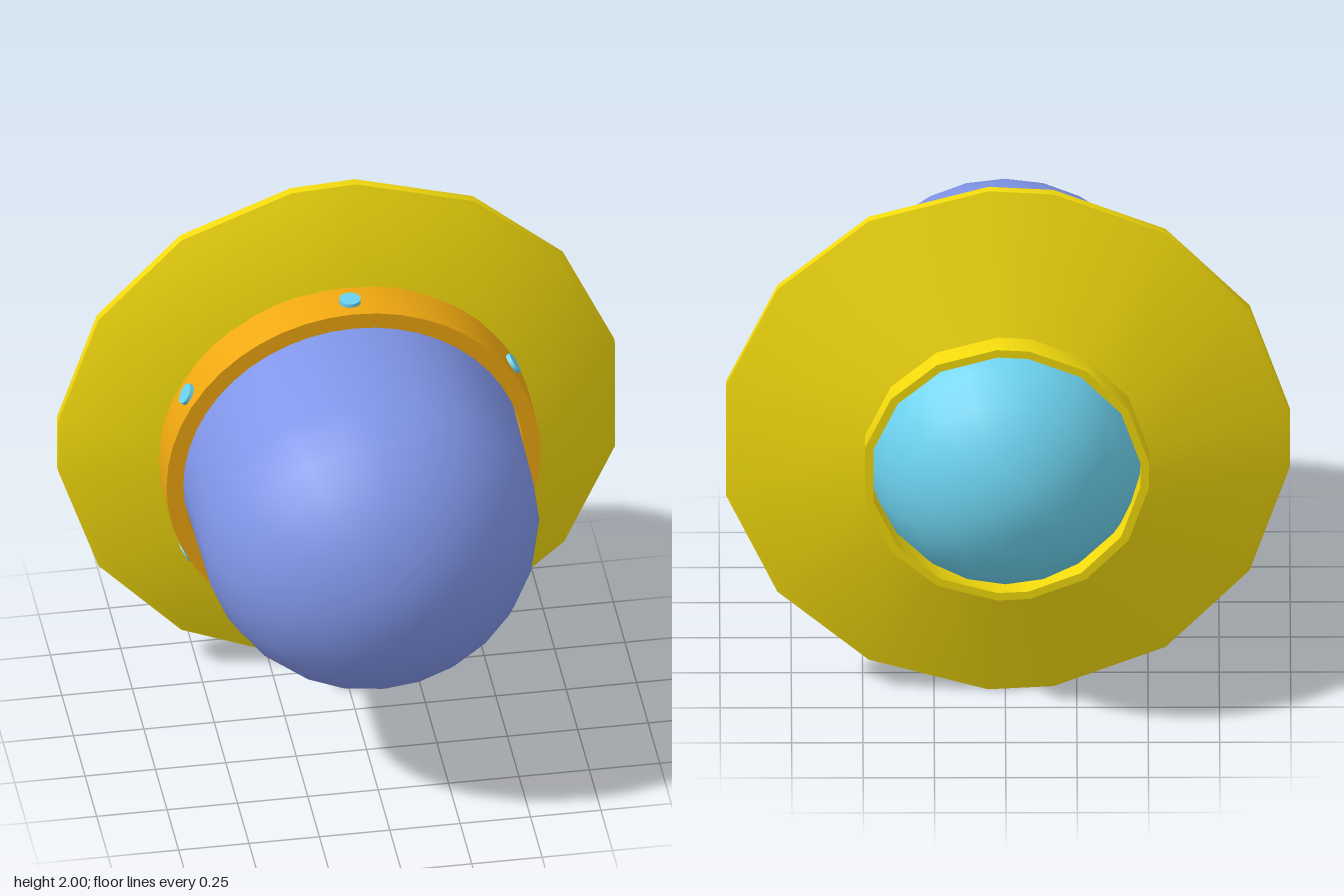
import * as THREE from 'three';
import { toCreasedNormals } from 'three/addons/utils/BufferGeometryUtils.js';

const mat = (color) => new THREE.MeshStandardMaterial({ color, side: THREE.DoubleSide });
const rad = THREE.MathUtils.degToRad;

// Turns a profile of [radius, z] points (back to front) around the z axis.
// An optional list of degrees places the corners unevenly around the axis.
function turned(name, profile, sides, material, angles) {
  const points = profile.map(([r, z]) => new THREE.Vector2(r, z));
  const geo = new THREE.LatheGeometry(points, sides);
  geo.rotateX(Math.PI / 2);
  if (angles) {
    const pos = geo.attributes.position;
    for (let i = 0; i < pos.count; i++) {
      const a = rad(angles[Math.floor(i / points.length)]);
      const r = points[i % points.length].x;
      pos.setXY(i, r * Math.cos(a), r * Math.sin(a));
    }
  }
  const mesh = new THREE.Mesh(toCreasedNormals(geo, 0.6), material);
  mesh.name = name;
  return mesh;
}

// Points along a sphere's outline, from polar angle `from` to `to` (0 = front pole)
function arc(radius, centreZ, from, to, steps) {
  return Array.from({ length: steps + 1 }, (_, i) => {
    const t = rad(from + ((to - from) * i) / steps);
    return [Math.max(0, radius * Math.sin(t)), centreZ + radius * Math.cos(t)];
  });
}

export function createModel() {
  const model = new THREE.Group();
  model.name = 'saucer';
  const hull = new THREE.Group();
  hull.name = 'hull';
  hull.position.y = 1;
  model.add(hull);

  const blue = mat(0x8095e8);
  const yellow = mat(0xf2d90d);
  const orange = mat(0xf0a810);
  const cyan = mat(0x6cd2ee);

  // Round-nosed body
  hull.add(turned('body', [[0.602, -0.19], ...arc(0.602, 0.27, 80, 0, 8)], 24, blue));

  // Band around the body
  hull.add(turned('band',
    [[0.59, -0.2], [0.665, -0.2], [0.665, -0.03], [0.605, -0.03], [0.605, -0.2]], 48, orange));

  // Wide disc with a short neck at the back, on uneven corners
  const half = [12.6, 37.3, 61.5, 86.6, 99.7, 124, 148.5, 174];
  const corners = [...half.map((a) => -a).reverse(), ...half, 186];
  hull.add(turned('disc', [
    [0.475, -0.5], [0.475, -0.62], [0.505, -0.62], [0.505, -0.53],
    [0.98, -0.378], [1.004, -0.37], [1.004, -0.338], [0.98, -0.328],
    [0.655, -0.19], [0.6, -0.19],
  ], 16, yellow, corners));

  // Rear dome, slightly flattened at its end
  hull.add(turned('dome',
    [[0, -0.875], ...arc(0.5, -0.38, 166, 90, 5)], 20, cyan));

  // Six studs set into the band
  for (let i = 0; i < 6; i++) {
    const a = rad(30 + i * 60);
    const stud = new THREE.Mesh(new THREE.CylinderGeometry(0.038, 0.038, 0.06, 16), cyan);
    stud.name = 'stud';
    stud.position.set(0.648 * Math.cos(a), 0.648 * Math.sin(a), -0.11);
    stud.rotation.z = a - Math.PI / 2;
    hull.add(stud);
  }
  return model;
}
